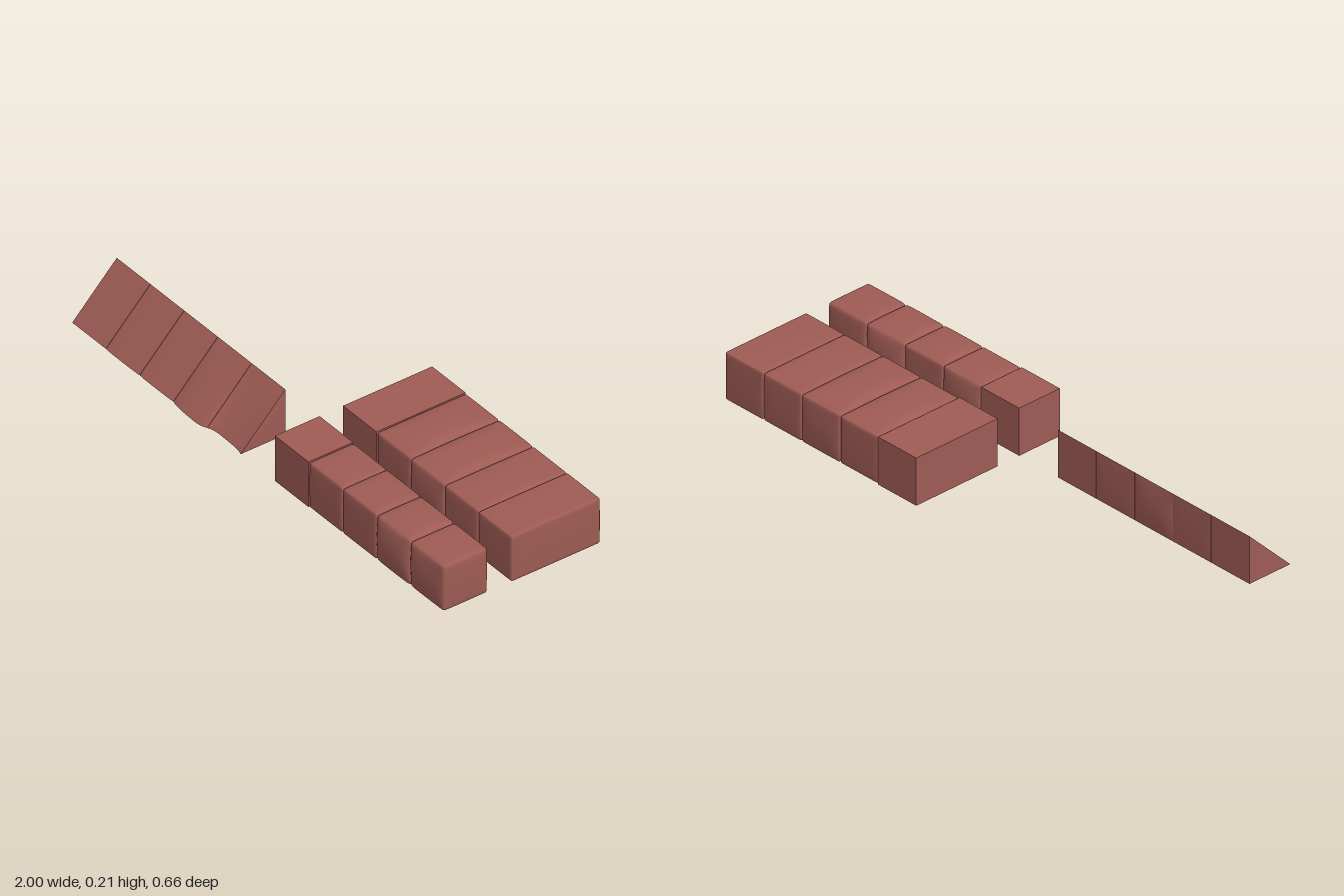
import * as THREE from 'three';
import { mergeVertices } from 'three/addons/utils/BufferGeometryUtils.js';

const SIZE = 0.18, PITCH = 0.1815, SEG = 16;

// One worn block: rounded by r, each side swollen by its own amount.
// lean moves the swelling toward one end; wedge slopes the front face.
function makeBlock(depth, r, [top, bottom, front, back, end, lean], wedge) {
  const h = [SIZE / 2, SIZE / 2, depth / 2];
  let geo = new THREE.BoxGeometry(2, 2, 2, SEG, SEG, SEG);
  const pos = geo.attributes.position;
  const p = new THREE.Vector3(), inner = new THREE.Vector3();
  const limit = new THREE.Vector3(h[0] - r, h[1] - r, h[2] - r);
  for (let i = 0; i < pos.count; i++) {
    // rows of points packed closer to the edges
    p.fromBufferAttribute(pos, i);
    p.set(...p.toArray().map((v, k) => Math.sin(v * Math.PI / 2) * h[k]));
    // rounded edges and corners
    if (r > 0) {
      inner.copy(p).clamp(limit.clone().negate(), limit);
      const off = p.clone().sub(inner);
      if (off.lengthSq() > 1e-12) p.copy(inner).addScaledVector(off.normalize(), r);
    }
    // swelling of each side
    const u = p.x / h[0], v = p.y / h[1], w = p.z / h[2];
    const along = (1 - u ** 4) * (1 + lean * u);
    const side = (amount, facing, across) =>
      amount * Math.max(0, facing) * along * (1 - across * across);
    p.y += side(top, v, w) - side(bottom, -v, w);
    const t = (v + 1) / 2;
    if (wedge) p.z = -h[2] + (p.z + h[2]) * (1 - t);
    p.z += wedge
      ? front * Math.max(0, (w + 1) / 2) * along * (1 - t) - side(back, -w, v)
      : side(front, w, v) - side(back, -w, v);
    p.x += end * Math.max(0, u) * (1 - v * v) * (1 - w * w);
    pos.setXYZ(i, p.x, p.y, p.z);
  }
  if (wedge) {
    // the top side has closed to a ridge, so its faces go
    const { start, count } = geo.groups[2];
    const index = Array.from(geo.index.array);
    index.splice(start, count);
    geo.setIndex(index);
  }
  geo.clearGroups();
  if (r > 0) {
    geo.deleteAttribute('normal');
    geo.deleteAttribute('uv');
    geo = mergeVertices(geo, 1e-5);
  }
  geo.computeVertexNormals();
  return geo;
}

export function createModel() {
  const model = new THREE.Group();
  model.name = 'brickSet';
  const clay = new THREE.MeshStandardMaterial({ color: 0x9e5b54 });
  clay.name = 'red clay';

  // each block: edge radius, then top, bottom, front, back, end, lean
  const rows = [
    {
      name: 'wedge', x: -1, z: 0.22, depth: 0.18, wedge: true,
      blocks: [
        [0, 0, 0, 0, 0, 0, 0],
        [0, 0, 0, 0.002, 0.002, 0, 0],
        [0, 0, 0, 0.002, 0.008, 0, 0],
        [0, 0, 0, 0.011, 0.003, 0, 0.3],
        [0, 0, 0, -0.01, 0, 0.003, -0.2],
      ],
    },
    {
      name: 'squareBlock', x: 0.09, z: 0.22, depth: 0.18,
      blocks: [
        [0, 0, 0, 0, 0, 0, 0],
        [0.009, 0.005, 0.004, 0.004, 0.013, 0, -0.4],
        [0.009, 0.008, 0.003, 0.004, 0.003, 0, -0.2],
        [0.012, 0.009, 0.017, 0.018, 0.017, 0, 0],
        [0.012, 0.003, 0.005, 0.011, 0.006, 0.004, -0.5],
      ],
    },
    {
      name: 'wideBlock', x: 0.09, z: -0.145, depth: 0.36,
      blocks: [
        [0, 0, 0, 0, 0, 0, 0],
        [0.009, 0.012, 0.003, 0.004, 0.002, 0, 0.1],
        [0.009, 0.014, 0.006, 0.011, 0.006, 0, -0.1],
        [0.009, 0.005, 0.008, 0.004, 0.003, 0, 0],
        [0.008, 0.002, 0.003, 0.003, 0.002, 0.002, -0.3],
      ],
    },
  ];

  for (const row of rows) {
    const group = new THREE.Group();
    group.name = row.name + 'Row';
    row.blocks.forEach(([r, ...swell], i) => {
      const mesh = new THREE.Mesh(makeBlock(row.depth, r, swell, row.wedge), clay);
      mesh.name = row.name + (i + 1);
      mesh.position.set(row.x + SIZE / 2 + i * PITCH, 0.02 + SIZE / 2, row.z);
      group.add(mesh);
    });
    model.add(group);
  }
  return model;
}
